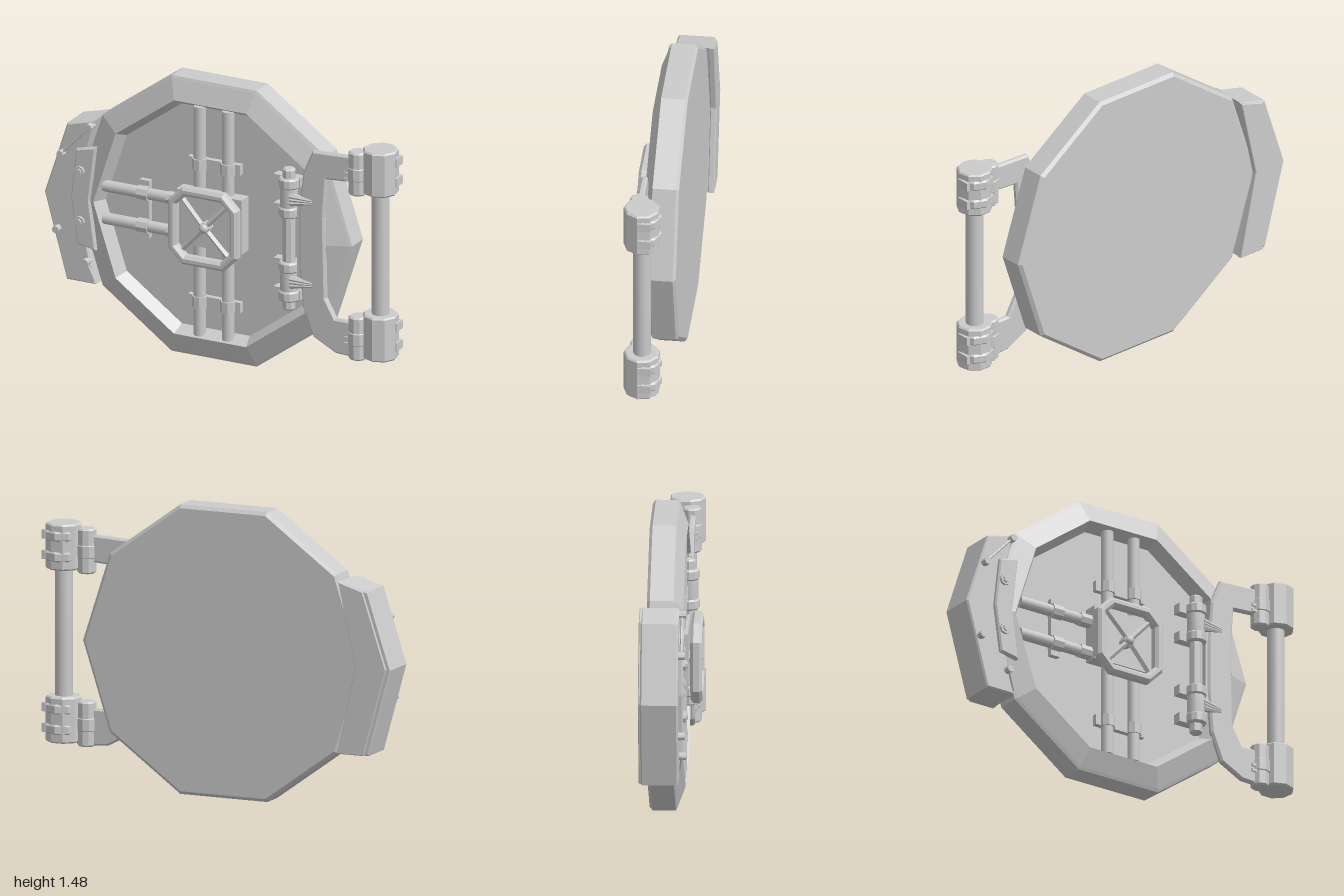
import * as THREE from 'three';

const CX = -0.055, CY = 0.75; // centre of the door

export function createModel() {
  const root = new THREE.Group();
  root.name = 'vaultDoor';
  const flat = new THREE.MeshStandardMaterial({ color: 0xcccccc, flatShading: true });
  const smooth = new THREE.MeshStandardMaterial({ color: 0xcccccc });

  function add(name, geo, x = 0, y = 0, z = 0, mat = flat) {
    const m = new THREE.Mesh(geo, mat);
    m.name = name;
    m.position.set(x, y, z);
    root.add(m);
    return m;
  }
  const box = (name, w, h, d, x, y, z) => add(name, new THREE.BoxGeometry(w, h, d), x, y, z);

  // Outline in x/y extruded from z0 to z1 with a chamfered rim
  function plate(name, pts, z0, z1, bevel = 0.01, hole = null) {
    const s = new THREE.Shape(pts.map(p => new THREE.Vector2(...p)));
    if (hole) s.holes.push(new THREE.Path(hole.map(p => new THREE.Vector2(...p))));
    const geo = new THREE.ExtrudeGeometry(s, {
      depth: z1 - z0 - 2 * bevel, bevelEnabled: bevel > 0,
      bevelSize: bevel, bevelThickness: bevel, bevelOffset: -bevel, bevelSegments: 1,
    });
    return add(name, geo, 0, 0, z0 + bevel);
  }

  // Solid of revolution with slightly chamfered ends, along y from y0 to y1
  function post(name, r, y0, y1, x, z, sides = 8, mat = flat, c = 0.008) {
    const h = y1 - y0;
    const pts = [[0, 0], [r - c, 0], [r, c], [r, h - c], [r - c, h], [0, h]];
    const geo = new THREE.LatheGeometry(pts.map(p => new THREE.Vector2(...p)), sides);
    return add(name, geo, x, y0, z, mat);
  }

  // Straight rod between two points
  function rod(name, a, b, r, sides = 6, r2 = r) {
    const A = new THREE.Vector3(...a), B = new THREE.Vector3(...b), d = B.clone().sub(A);
    const m = add(name, new THREE.CylinderGeometry(r2, r, d.length(), sides), 0, 0, 0, sides > 8 ? smooth : flat);
    m.position.copy(A).addScaledVector(d, 0.5);
    m.quaternion.setFromUnitVectors(new THREE.Vector3(0, 1, 0), d.normalize());
    return m;
  }

  // Ten-sided door slab: back, rim, sloped front ring and recessed panel
  const profile = [[0, -0.115], [0.762, -0.115], [0.78, -0.1], [0.78, 0.018],
    [0.765, 0.025], [0.66, 0.065], [0.622, 0], [0, 0]];
  const slab = new THREE.LatheGeometry(profile.map(p => new THREE.Vector2(...p)), 10, Math.PI / 2);
  slab.rotateX(Math.PI / 2);
  add('doorSlab', slab, CX, CY, 0);

  // Locking bars with saddle clamps
  for (const x of [-0.13, 0.03]) {
    rod('verticalLockBar', [x, 0.13, 0.03], [x, 1.36, 0.03], 0.031, 12);
    for (const y of [0.31, 1.05]) {
      const c = add('barClamp', new THREE.CylinderGeometry(0.04, 0.04, 0.06, 8), x, y, 0.03);
      c.rotation.y = Math.PI / 8;
    }
  }
  for (const y of [0.31, 1.05]) box('clampFoot', 0.295, 0.055, 0.03, -0.05, y, 0.014);
  for (const y of [0.66, 0.835]) {
    rod('sideLockBar', [-0.67, y, 0.03], [-0.22, y, 0.03], 0.03, 12);
    rod('sideBarClamp', [-0.475, y, 0.03], [-0.415, y, 0.03], 0.039, 8);
    rod('barSocket', [-0.305, y, 0.03], [-0.22, y, 0.03], 0.036, 8);
  }
  box('sideClampFoot', 0.055, 0.31, 0.03, -0.445, 0.7475, 0.014);

  // Gear box behind the hand wheel
  box('gearBox', 0.37, 0.29, 0.075, -0.055, 0.765, 0.0375);

  // Chamfered square hand wheel with four spokes and a hub
  const WX = -0.06, WY = 0.743;
  const chamferSquare = (w, h, c) => [[w - c, -h], [w, c - h], [w, h - c], [w - c, h],
    [c - w, h], [-w, h - c], [-w, c - h], [c - w, -h]].map(([x, y]) => [x + WX, y + WY]);
  plate('handWheelRim', chamferSquare(0.197, 0.208, 0.08), 0.087, 0.146, 0.015,
    chamferSquare(0.15, 0.16, 0.05));
  for (const sx of [-1, 1]) for (const sy of [-1, 1]) {
    rod('wheelSpoke', [WX, WY, 0.115], [WX + sx * 0.145, WY + sy * 0.155, 0.105], 0.014, 4);
  }
  rod('wheelShaft', [WX, WY, 0.06], [WX, WY, 0.125], 0.03, 8);
  add('wheelHub', new THREE.SphereGeometry(0.027, 10, 8), WX, WY, 0.12, smooth);

  // Inner hinge pin, sleeves and mounting flanges, mirrored about mid height
  const PX = 0.39, PZ = 0.06;
  post('hingePin', 0.034, 0.37, 1.13, PX, PZ, 8);
  for (const s of [-1, 1]) {
    const span = (a, b) => s > 0 ? [CY + a, CY + b] : [CY - b, CY - a];
    post('pinSleeve', 0.046, ...span(0.16, 0.32), PX, PZ, 12, smooth);
    for (const a of [0.12, 0.275]) {
      post('pinCollar', 0.054, ...span(a, a + 0.055), PX, PZ, 12);
      box('collarFoot', 0.15, 0.05, 0.05, 0.372, CY + s * (a + 0.0275), 0.025);
    }
    // Tapered ribs joining the sleeve to the arm
    for (const k of [-1, 0, 1]) {
      const y = CY + s * 0.222 + k * 0.018;
      rod('armRib', [0.41, y, 0.085], [0.53, CY + s * 0.222 + k * 0.008, 0.078], 0.02, 6, 0.005);
    }
  }

  // C-shaped swing arm
  plate('swingArm', [[0.53, 1.25], [0.76, 1.26], [0.76, 1.12], [0.61, 1.11], [0.595, 0.9],
    [0.605, 0.47], [0.66, 0.37], [0.76, 0.37], [0.76, 0.18], [0.66, 0.185], [0.535, 0.25],
    [0.475, 0.4], [0.455, 0.62], [0.455, 0.9], [0.475, 1.12]], 0.045, 0.08, 0.01);
  box('armEdgePlate', 0.05, 0.42, 0.05, 0.465, CY, 0.045);

  // Outer hinge: pole, banded knuckles and smaller link knuckles
  post('hingePole', 0.045, 0.3, 1.2, 0.895, 0.035, 16, smooth);
  for (const [y0, link] of [[0.195, 0.175], [1.08, 1.06]]) {
    post('hingeKnuckle', 0.092, y0, y0 + 0.235, 0.895, 0.035, 9);
    for (const dy of [0.045, 0.15]) {
      post('knuckleBand', 0.09, y0 + dy, y0 + dy + 0.05, 0.899, 0.024, 8);
      box('bandClasp', 0.02, 0.045, 0.07, 0.983, y0 + dy + 0.025, 0.015);
    }
    post('linkKnuckle', 0.049, link, link + 0.23, 0.78, 0.06, 10);
    post('linkKnuckleRing', 0.053, link + 0.075, link + 0.15, 0.78, 0.06, 10);
    for (const dy of [0.075, 0.105]) box('linkTooth', 0.03, 0.016, 0.03, 0.73, link + dy, 0.075);
    box('knuckleBridge', 0.1, 0.15, 0.05, 0.83, link + 0.125, 0.05);
  }

  // Latch housing wrapped around the free edge of the door
  plate('latchHousing', [[-0.872, 1.14], [-0.715, 1.18], [-0.82, 0.75], [-0.71, 0.3],
    [-0.875, 0.3], [-1, 0.75]], -0.14, 0.05, 0.008);
  plate('latchBackLip', [[-0.845, 1.14], [-0.71, 1.18], [-0.805, 0.75], [-0.705, 0.3],
    [-0.85, 0.3], [-0.975, 0.75]], -0.15, -0.118, 0.004);
  plate('latchCover', [[-0.81, 1.02], [-0.7, 1.045], [-0.735, 0.76], [-0.7, 0.49],
    [-0.805, 0.51], [-0.84, 0.76]], 0.04, 0.072, 0.008);
  for (const y of [0.635, 0.905]) {
    rod('coverBolt', [-0.787, y, 0.06], [-0.787, y, 0.085], 0.029, 8);
    rod('coverBoltHead', [-0.787, y, 0.08], [-0.787, y, 0.094], 0.018, 6);
  }
  const studs = [[-0.895, 0.98], [-0.735, 1.15], [-0.92, 0.57], [-0.755, 0.42]];
  for (const [x, y] of studs) rod('latchStud', [x, y, 0.03], [x, y, 0.085], 0.019, 8);
  rod('latchTieRod', [...studs[0], 0.065], [...studs[1], 0.065], 0.007);
  rod('latchTieRod', [...studs[3], 0.065], [-0.715, 0.32, 0.05], 0.007);

  return root;
}
